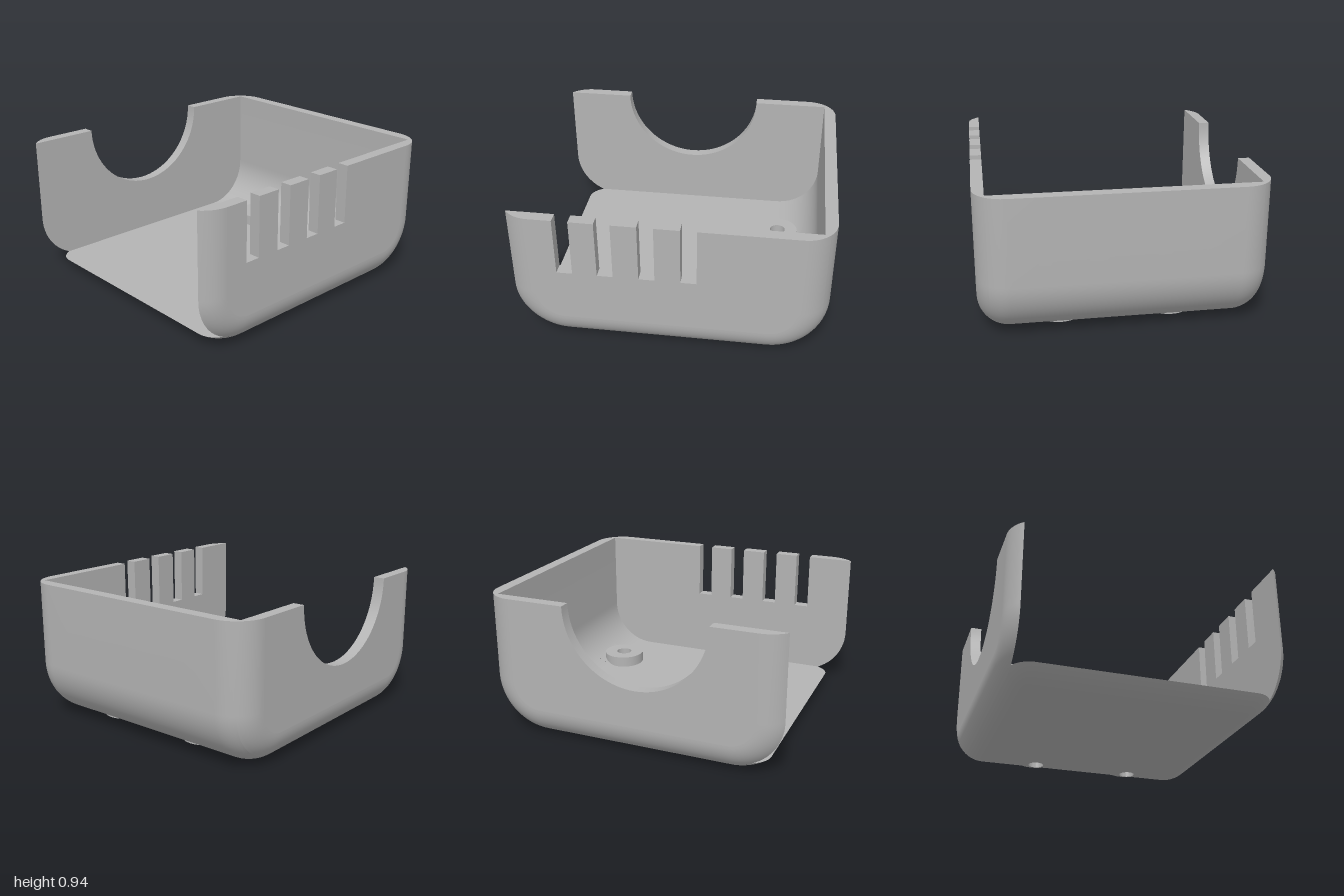
import * as THREE from 'three';
import { mergeGeometries, toCreasedNormals } from 'three/addons/utils/BufferGeometryUtils.js';

// Main dimensions
const XL = -1.044, XR = 1, TOP = 0.935, FLOOR = 0.075;
const R = 0.38, RIN = 0.305, XIN = 0.92;         // corner radii of the section, inner side wall
const BEVEL = 0.2, ZFLAT = 0.705, ZIN = 0.83, ZOUT = 0.905;
const HOLE_X = 0.64, HOLE_Z = [-0.325, 0.385], HOLE_R = 0.055, PATCH = 0.15;
const ARC = 18, CUT = Math.asin((ZIN - ZFLAT) / BEVEL);

const inset = (t) => BEVEL * (1 - Math.cos(t));
const zAt = (t) => ZFLAT + BEVEL * Math.sin(t);
const steps = (n, a, b) => Array.from({ length: n + 1 }, (_, i) => a + (b - a) * i / n);

// Heights of the outer and inner bottom surfaces near the screw holes
const outerY = (x) => (x < XR - R ? 0 : R - Math.sqrt(R * R - (x - XR + R) ** 2));
const innerY = (x) => (x < XIN - RIN ? FLOOR : R - Math.sqrt(RIN * RIN - (x - XIN + RIN) ** 2));

// Skin through rows of [x, y, z] points
function loft(rows, flip = false) {
  const out = [];
  for (let i = 0; i < rows.length - 1; i++) {
    for (let j = 0; j < rows[i].length - 1; j++) {
      const a = rows[i][j], b = rows[i][j + 1], c = rows[i + 1][j + 1], d = rows[i + 1][j];
      out.push(...(flip ? [a, d, b, b, d, c] : [a, b, d, b, c, d]).flat());
    }
  }
  const g = new THREE.BufferGeometry();
  g.setAttribute('position', new THREE.Float32BufferAttribute(out, 3));
  return g;
}
const atZ = (path, z) => path.map(([x, y]) => [x, y, z]);

// U-shaped outline inset by d; the left corner arc starts at angle a0
function outline(d, a0 = 0) {
  const r = R - d;
  return [
    ...steps(ARC, a0, Math.PI / 2).map((a) => [XL + R - r * Math.cos(a), R - r * Math.sin(a)]),
    ...steps(ARC, 0, Math.PI / 2).map((a) => [XR - R + r * Math.sin(a), R - r * Math.cos(a)]),
    [XR - d, TOP],
  ];
}

// Closed section of floor and side wall, open on the other side
function section(d) {
  const outer = outline(d, Math.asin((R - FLOOR) / (R - d)));
  return [
    ...outer,
    [XIN, TOP],
    ...steps(ARC, Math.PI / 2, 0).map((a) => [XIN - RIN + RIN * Math.sin(a), R - RIN * Math.cos(a)]),
    outer[0],
  ];
}

// Square piece of surface around a round hole
function holePatch(z, heightAt, flip) {
  const rows = steps(5, 0, 1).map((t) => steps(40, 0, Math.PI * 2).map((a) => {
    const c = Math.cos(a), s = Math.sin(a);
    const r = HOLE_R + (PATCH / Math.max(Math.abs(c), Math.abs(s)) - HOLE_R) * t;
    return [HOLE_X + r * c, heightAt(HOLE_X + r * c), z + r * s];
  }));
  return loft(rows, flip);
}

function shellGeometry() {
  const parts = [];
  const full = section(0);
  // rounded zones beside the front and back walls
  parts.push(loft(steps(7, -CUT, 0).map((t) => atZ(section(inset(t)), zAt(t) - 2 * ZFLAT))));
  parts.push(loft(steps(7, 0, CUT).map((t) => atZ(section(inset(t)), zAt(t)))));
  // straight zones between the holes
  const x0 = HOLE_X - PATCH, x1 = HOLE_X + PATCH;
  const edges = [-ZFLAT, ...HOLE_Z.flatMap((z) => [z - PATCH, z + PATCH]), ZFLAT];
  for (let i = 0; i < edges.length; i += 2) {
    parts.push(loft([atZ(full, edges[i]), atZ(full, edges[i + 1])]));
  }
  // zones with a hole
  const left = [[x0, FLOOR], ...full.slice(0, ARC + 1), [x0, 0]];
  const right = [[x1, outerY(x1)], ...full.filter((p) => p[0] > x1), [x1, innerY(x1)]];
  for (const z of HOLE_Z) {
    for (const path of [left, right]) parts.push(loft([atZ(path, z - PATCH), atZ(path, z + PATCH)]));
    parts.push(holePatch(z, outerY, true), holePatch(z, innerY, false));
  }
  return toCreasedNormals(mergeGeometries(parts), 0.5);
}

// Rounded border of an end wall, with its top and inner faces
function wallRim(side) {
  const path = (d) => [[XL + BEVEL, TOP], [XL + d, TOP], ...outline(d), [XR - BEVEL, TOP]];
  const rows = [atZ(path(BEVEL), side * ZIN)];
  for (const t of steps(10, CUT, Math.PI / 2)) rows.push(atZ(path(inset(t)), side * zAt(t)));
  if (side < 0) rows.reverse();
  return toCreasedNormals(loft(rows), 0.5);
}

// Flat middle of an end wall, with openings listed from right to left along the top
function wallPanel(side, openings) {
  const pts = [[XL + BEVEL, TOP], ...outline(BEVEL), ...openings];
  const shape = new THREE.Shape(pts.map(([x, y]) => new THREE.Vector2(x, y)));
  const g = new THREE.ExtrudeGeometry(shape, { depth: ZOUT - ZIN, bevelEnabled: false });
  g.translate(0, 0, side > 0 ? ZIN : -ZOUT);
  return toCreasedNormals(g, 0.5);
}

function bossGeometry() {
  const pts = [[HOLE_R, 0.027], [0.145, 0.027], [0.145, 0.15], [HOLE_R, 0.15], [HOLE_R, 0]];
  const g = new THREE.LatheGeometry(pts.map(([x, y]) => new THREE.Vector2(x, y)), 40);
  return toCreasedNormals(g, 0.5);
}

export function createModel() {
  const model = new THREE.Group();
  model.name = 'openEnclosure';
  const plastic = new THREE.MeshStandardMaterial({ color: 0xb3b3b3 });
  plastic.name = 'greyPlastic';
  const add = (name, geometry, parent = model) => {
    const mesh = new THREE.Mesh(geometry, plastic);
    mesh.name = name;
    parent.add(mesh);
    return mesh;
  };

  add('floorAndSideWall', shellGeometry());

  // Front wall with four cable slots
  const slots = [0.08, -0.18, -0.44, -0.695].flatMap((x) => (
    [[x + 0.1, TOP], [x + 0.1, 0.55], [x, 0.55], [x, TOP]]));
  // Back wall with a half-round opening
  const arch = steps(40, 0, Math.PI).map((a) => [-0.068 + 0.482 * Math.cos(a), TOP - 0.482 * Math.sin(a)]);
  for (const [name, side, openings] of [['frontWall', 1, slots], ['backWall', -1, arch]]) {
    const wall = new THREE.Group();
    wall.name = name;
    add(name + 'Panel', wallPanel(side, openings), wall);
    add(name + 'Rim', wallRim(side), wall);
    model.add(wall);
  }

  // Screw bosses
  for (const z of HOLE_Z) add('screwBoss', bossGeometry()).position.set(HOLE_X, 0, z);
  return model;
}
